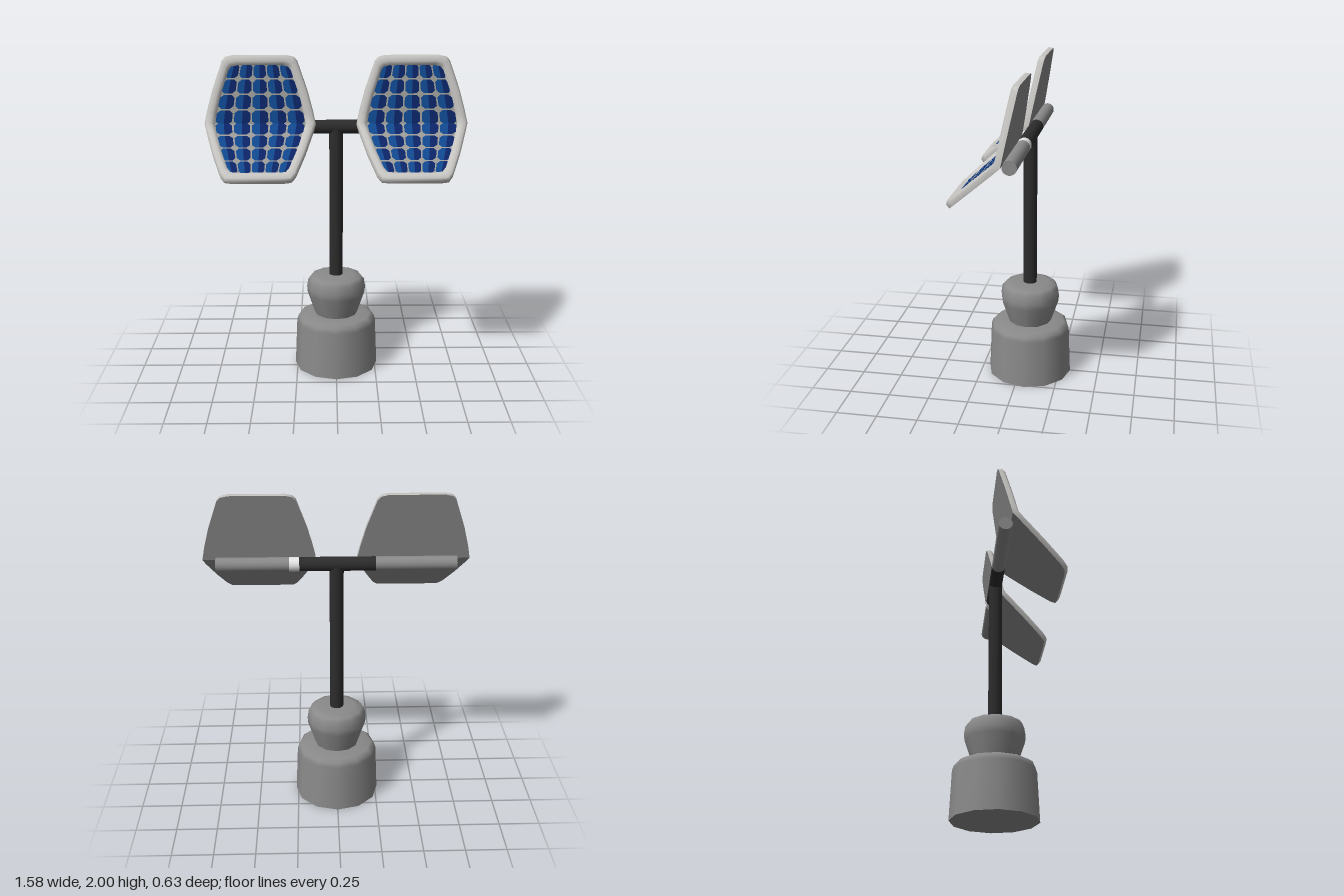
import * as THREE from 'three';

const mat = (name, color, side = THREE.FrontSide) => {
  const m = new THREE.MeshStandardMaterial({ color, side });
  m.name = name;
  return m;
};

// Half outline of a panel from bottom to top: [half width, position along the bent panel]
const HALF = [[0.15, -1], [0.195, -0.985], [0.22, -0.9], [0.272, -0.55], [0.32, -0.15], [0.334, 0],
  [0.318, 0.2], [0.285, 0.5], [0.225, 0.92], [0.205, 0.975], [0.16, 1]];
// Rim cross-section: [inset, height above the back]
const RIM = [[0, 0], [0, 0.026], [0.012, 0.038], [0.036, 0.04], [0.052, 0.034], [0.062, 0.018]];
const FLOOR = 0.02;

// Point on the bent panel: x, position v (-1 bottom, 0 fold, 1 top), height h above the back
function onPanel(x, v, h) {
  let ny = 0.517, nz = 0.919;
  if (v > 0.001) { ny = 0.185; nz = 0.983; }
  if (v < -0.001) { ny = 0.744; nz = 0.669; }
  const t = Math.abs(v);
  const y = 1.585 + t * (v > 0 ? 0.408 : -0.285);
  const z = -0.022 + t * (v > 0 ? -0.078 : 0.317);
  return [x, y + ny * h, z + nz * h];
}

function geometry(points, index) {
  const g = new THREE.BufferGeometry();
  g.setAttribute('position', new THREE.Float32BufferAttribute(points.flat(), 3));
  g.setIndex(index);
  g.computeVertexNormals();
  return g;
}

// Rounded frame swept around the outline
function rimGeometry() {
  const loop = [...HALF, ...HALF.map(([w, v]) => [-w, v]).reverse()];
  const n = loop.length, m = RIM.length, points = [], index = [];
  for (const [x, v] of loop) {
    for (const [inset, h] of RIM) points.push(onPanel(x * (1 - inset / 0.334), v * (1 - inset / 0.4), h));
  }
  for (let i = 0; i < n; i++) {
    for (let j = 0; j < m - 1; j++) {
      const a = i * m + j, b = ((i + 1) % n) * m + j;
      index.push(a, b, b + 1, a, b + 1, a + 1);
    }
  }
  return geometry(points, index);
}

// Folded sheet filling the outline, facing forward or back
function sheetGeometry(inset, h, front) {
  const points = [], index = [];
  const kx = 1 - inset / 0.334, kv = 1 - inset / 0.4;
  const strip = (rows) => {
    const base = points.length;
    rows.forEach(([w, v], i) => {
      points.push(onPanel(-w * kx, v * kv, h), onPanel(w * kx, v * kv, h));
      if (i === 0) return;
      const a = base + i * 2 - 2;
      if (front) index.push(a, a + 1, a + 3, a, a + 3, a + 2);
      else index.push(a, a + 3, a + 1, a, a + 2, a + 3);
    });
  };
  // Separate halves keep the fold crisp
  strip(HALF.slice(0, 6));
  strip(HALF.slice(5));
  return geometry(points, index);
}

// All left or right halves of the clipped-corner solar cells
function cellsGeometry(rightHalf) {
  const half = [[0.5, 0], [0.5, 1], [0.22, 1], [0, 0.8], [0, 0.2], [0.22, 0]];
  const shape = rightHalf ? half.map(([u, t]) => [1 - u, t]).reverse() : half;
  const points = [], index = [], cols = 5, rows = 4, reach = 0.88;
  for (const sign of [-1, 1]) {
    for (let r = 0; r < rows; r++) {
      for (let c = 0; c < cols; c++) {
        const base = points.length;
        for (const [u, t] of shape) {
          const k = (r + 0.05 + 0.9 * (sign > 0 ? t : 1 - t)) / rows;
          const width = 0.275 - 0.087 * Math.pow(k, 1.3);
          const across = (c + 0.05 + 0.9 * u) / cols * 2 - 1;
          points.push(onPanel(across * width, sign * k * reach, FLOOR + 0.004));
        }
        for (let i = 1; i < shape.length - 1; i++) index.push(base, base + i, base + i + 1);
      }
    }
  }
  return geometry(points, index);
}

export function createModel() {
  const model = new THREE.Group();
  model.name = 'solarPanelStand';
  const grey = mat('grey', 0x8a8a8a);
  const black = mat('black', 0x2c2c2c);
  const white = mat('white', 0xe6e6e6);
  const rimGrey = mat('rimGrey', 0xc6c5c2);
  const plateGrey = mat('plateGrey', 0x9c9b98);
  const blue = mat('blue', 0x10498f);
  const navy = mat('navy', 0x0c2467);

  const add = (parent, name, geo, material, x = 0, y = 0, z = 0) => {
    const mesh = new THREE.Mesh(geo, material);
    mesh.name = name;
    mesh.position.set(x, y, z);
    parent.add(mesh);
    return mesh;
  };
  const AXIS = -0.055;
  const lathe = (pts) => new THREE.LatheGeometry(pts.map(([r, y]) => new THREE.Vector2(r, y)), 12);

  // Foot in two stacked drums
  add(model, 'lowerBase', lathe([[0.265, 0], [0.252, 0.3], [0.243, 0.33], [0.22, 0.346], [0.14, 0.356], [0, 0.356]]),
    grey, 0, 0, AXIS);
  add(model, 'upperBase', lathe([[0.135, 0.35], [0.182, 0.49], [0.186, 0.53], [0.178, 0.58], [0.16, 0.603], [0.115, 0.615], [0, 0.615]]),
    grey, 0, 0, AXIS);
  add(model, 'baseUnderside', new THREE.CircleGeometry(0.265, 12), grey, 0, 0, AXIS).rotation.x = Math.PI / 2;

  // Post and crossbar
  add(model, 'post', new THREE.CylinderGeometry(0.042, 0.042, 0.97, 20), black, 0, 1.085, AXIS);
  const bar = (name, x0, x1, material) => {
    const geo = new THREE.CylinderGeometry(0.042, 0.042, x1 - x0, 20).rotateZ(Math.PI / 2);
    add(model, name, geo, material, (x0 + x1) / 2, 1.567, AXIS);
  };
  bar('crossbarMiddle', -0.23, 0.22, black);
  bar('crossbarCollar', 0.22, 0.28, white);
  bar('crossbarLeft', 0.28, 0.71, grey);
  bar('crossbarRight', -0.71, -0.23, grey);

  // Two folded panels
  const rim = rimGeometry();
  const back = sheetGeometry(0, 0, false);
  const floor = sheetGeometry(0.055, FLOOR, true);
  const cellsA = cellsGeometry(false), cellsB = cellsGeometry(true);
  for (const [name, x] of [['leftPanel', 0.457], ['rightPanel', -0.457]]) {
    const panel = new THREE.Group();
    panel.name = name;
    panel.position.x = x;
    add(panel, 'rim', rim, rimGrey);
    add(panel, 'backPlate', back, grey);
    add(panel, 'frontPlate', floor, plateGrey);
    add(panel, 'cellLeftHalves', cellsA, blue);
    add(panel, 'cellRightHalves', cellsB, navy);
    model.add(panel);
  }
  return model;
}
